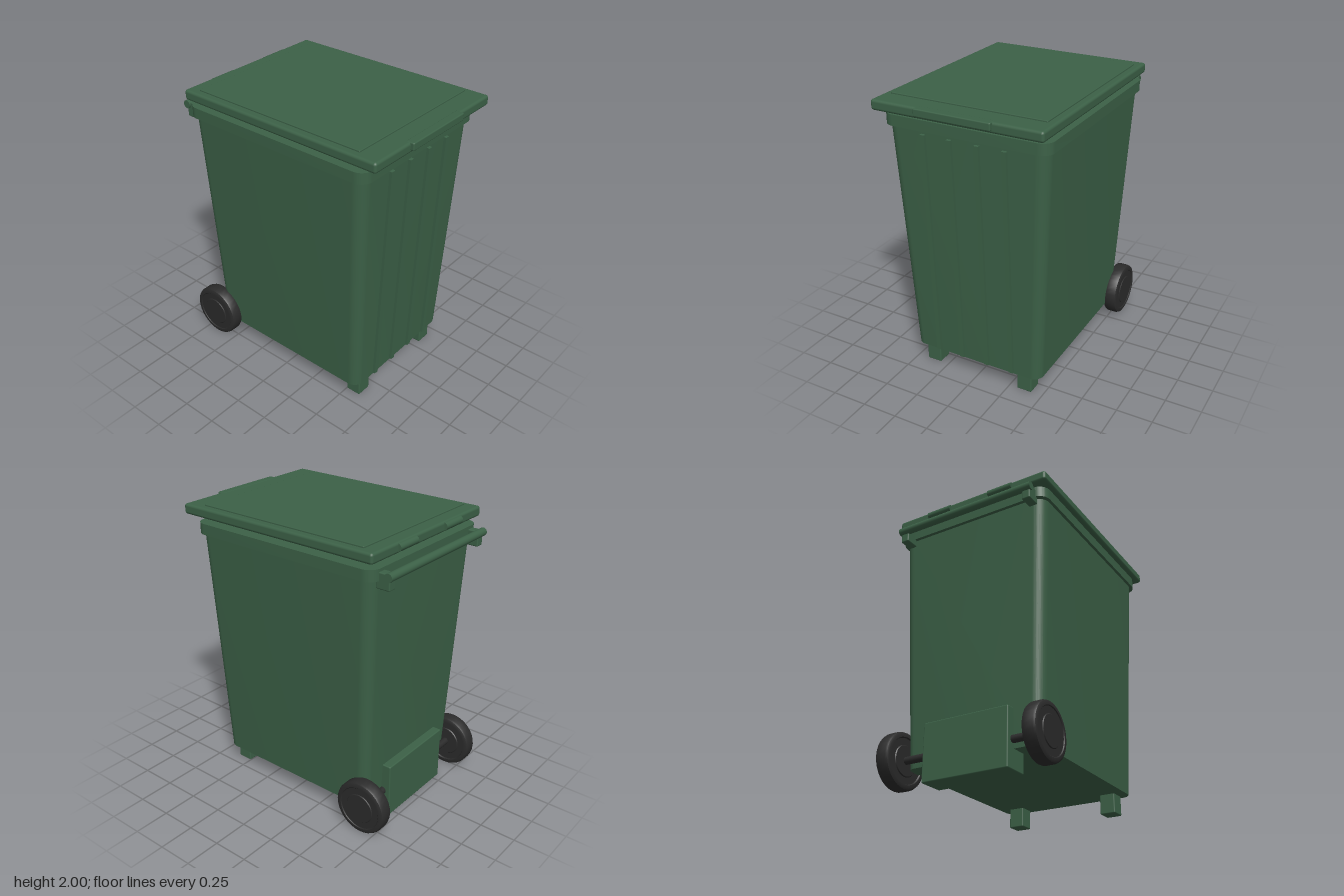
import * as THREE from 'three';
import { toCreasedNormals } from 'three/addons/utils/BufferGeometryUtils.js';
import { RoundedBoxGeometry } from 'three/addons/geometries/RoundedBoxGeometry.js';

// Upright prism with rounded corners; the bottom is scaled in by (bx, bz)
function roundedPrism(hx, hz, r, y0, y1, bx = 1, bz = 1) {
  const s = new THREE.Shape();
  s.moveTo(hx, -hz + r);
  s.absarc(hx - r, hz - r, r, 0, Math.PI / 2);
  s.absarc(-hx + r, hz - r, r, Math.PI / 2, Math.PI);
  s.absarc(-hx + r, -hz + r, r, Math.PI, Math.PI * 1.5);
  s.absarc(hx - r, -hz + r, r, Math.PI * 1.5, Math.PI * 2);
  const g = new THREE.ExtrudeGeometry(s, { depth: y1 - y0, bevelEnabled: false, curveSegments: 8 });
  g.rotateX(-Math.PI / 2).translate(0, y0, 0);
  const p = g.attributes.position;
  for (let i = 0; i < p.count; i++) {
    const t = (p.getY(i) - y0) / (y1 - y0);
    p.setX(i, p.getX(i) * THREE.MathUtils.lerp(bx, 1, t));
    p.setZ(i, p.getZ(i) * THREE.MathUtils.lerp(bz, 1, t));
  }
  return toCreasedNormals(g, 0.6);
}

export function createModel() {
  const model = new THREE.Group();
  model.name = 'wheeledBin';
  const green = new THREE.MeshStandardMaterial({ color: 0x3c6147 });
  green.name = 'green plastic';
  const black = new THREE.MeshStandardMaterial({ color: 0x2b2b2b });
  black.name = 'black rubber';

  const add = (name, geometry, material, x = 0, y = 0, z = 0) => {
    const m = new THREE.Mesh(geometry, material);
    m.name = name;
    m.position.set(x, y, z);
    model.add(m);
    return m;
  };
  const box = (w, h, d, r = 0.008) => new RoundedBoxGeometry(w, h, d, 2, r);
  const rod = (r, length) => new THREE.CylinderGeometry(r, r, length, 20).rotateZ(Math.PI / 2);

  // Tapered body and rim
  add('body', roundedPrism(0.565, 0.707, 0.08, 0.14, 1.82, 0.868, 0.9), green);
  add('rim', roundedPrism(0.585, 0.73, 0.08, 1.805, 1.88), green);

  // Ribs follow the slope of the front
  for (const x of [-0.29, -0.1, 0.095, 0.285]) {
    const rib = add('frontRib', new THREE.BoxGeometry(0.032, 1.63, 0.03), green, x, 0.967, 0.676);
    rib.rotation.x = Math.atan2(0.071, 1.68);
  }

  // Lid with raised panel and grip
  add('lid', box(1.19, 0.07, 1.55, 0.018), green, 0, 1.955, 0.042);
  add('lidPanel', box(1.09, 0.02, 1.305, 0.004), green, 0, 1.99, 0.0145);
  add('lidGrip', box(0.53, 0.052, 0.06), green, 0, 1.966, 0.81);

  // Handle bar
  add('handleBar', rod(0.028, 1.06), green, 0, 1.843, -0.8);

  // Tyre profile: radius against width
  const profile = [
    [0, -0.046], [0.1, -0.046], [0.105, -0.04], [0.15, -0.04], [0.155, -0.05], [0.172, -0.05],
    [0.184, -0.044], [0.19, -0.03], [0.19, 0.03], [0.184, 0.044], [0.172, 0.05], [0.155, 0.05],
    [0.15, 0.045], [0.105, 0.045], [0.1, 0.05], [0, 0.05],
  ].map(([r, y]) => new THREE.Vector2(r, y));
  const wheelGeometry = toCreasedNormals(new THREE.LatheGeometry(profile, 32), 0.5).rotateZ(-Math.PI / 2);

  for (const side of [1, -1]) {
    add('hinge', rod(0.025, 0.185), green, side * 0.248, 1.958, -0.73);
    add('handleBracket', box(0.06, 0.105, 0.1), green, side * 0.49, 1.808, -0.755);
    add('frontFoot', box(0.11, 0.15, 0.11), green, side * 0.365, 0.08, 0.555);
    const wheel = add('wheel', wheelGeometry, black, side * 0.525, 0.195, -0.652);
    if (side < 0) wheel.rotation.y = Math.PI;
  }

  // Axle and its housing
  add('axle', rod(0.025, 0.98), black, 0, 0.195, -0.652);
  add('axleHousing', box(0.62, 0.39, 0.185), green, 0, 0.203, -0.615);

  return model;
}
